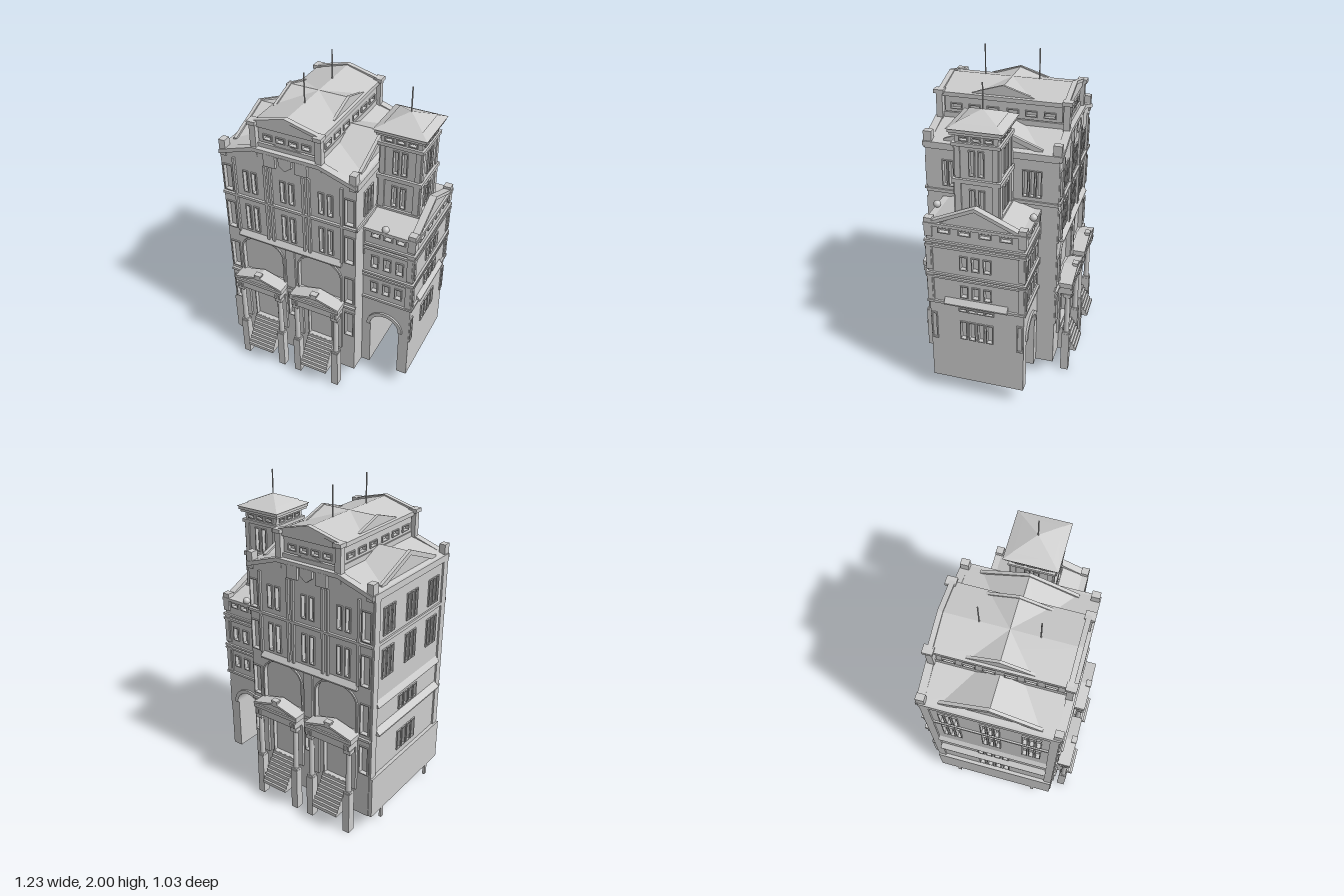
import * as THREE from 'three';

const mat = new THREE.MeshStandardMaterial({ color: 0xcccccc });
const openMat = new THREE.MeshStandardMaterial({ color: 0xcccccc, side: THREE.DoubleSide });

function add(parent, name, geo, x = 0, y = 0, z = 0) {
  const m = new THREE.Mesh(geo, mat);
  m.name = name;
  m.position.set(x, y, z);
  parent.add(m);
  return m;
}
// box given by centre x, bottom y, top y, centre z
const box = (p, name, x, y0, y1, z, w, d) =>
  add(p, name, new THREE.BoxGeometry(w, y1 - y0, d), x, (y0 + y1) / 2, z);
const cyl = (p, name, x, y0, y1, z, r0, r1 = r0, n = 16) =>
  add(p, name, new THREE.CylinderGeometry(r1, r0, y1 - y0, n), x, (y0 + y1) / 2, z);
const extrude = (shape, depth) =>
  new THREE.ExtrudeGeometry(shape, { depth, bevelEnabled: false, curveSegments: 12 });
const poly = (pts) => new THREE.Shape(pts.map(([x, y]) => new THREE.Vector2(x, y)));
const rect = (u, y, w, h) =>
  poly([[u - w / 2, y], [u + w / 2, y], [u + w / 2, y + h], [u - w / 2, y + h]]);

// opening with a round or flattened top
function archShape(u, y0, hw, spring, rise) {
  const s = new THREE.Shape();
  s.moveTo(u - hw, y0);
  s.lineTo(u + hw, y0);
  s.lineTo(u + hw, spring);
  s.absellipse(u, spring, hw, rise, 0, Math.PI, false, 0);
  s.lineTo(u - hw, y0);
  return s;
}
// wall outline with a round-topped passage cut up from its foot
function passageShape(hw, y0, y1, r, spring) {
  const s = poly([[-r, y0], [-hw, y0], [-hw, y1], [hw, y1], [hw, y0], [r, y0], [r, spring]]);
  s.absarc(0, spring, r, 0, Math.PI, false);
  s.lineTo(-r, y0);
  return s;
}
// half ring following the head of the passage
function halfRing(r0, r1, spring) {
  const s = new THREE.Shape();
  s.absarc(0, spring, r1, 0, Math.PI, false);
  s.absarc(0, spring, r0, Math.PI, 0, true);
  s.closePath();
  return s;
}
// wall slab whose outer face lies at z = 0, with framed window openings
function wall(p, name, outline, windows, arches = []) {
  for (const [u, y, w, h] of windows) {
    outline.holes.push(rect(u, y, w, h));
    const f = rect(u, y - 0.006, w + 0.012, h + 0.012);
    f.holes.push(rect(u, y, w, h));
    add(p, 'windowFrame', extrude(f, 0.008));
  }
  for (const a of arches) {
    outline.holes.push(archShape(...a));
    const f = archShape(a[0], a[1] - 0.008, a[2] + 0.01, a[3], a[4] + 0.01);
    f.holes.push(archShape(...a));
    add(p, 'archFrame', extrude(f, 0.01));
  }
  add(p, name, extrude(outline, 0.02), 0, 0, -0.02);
}
// gabled solid centred on the origin, ridge along z, or along x when turned
const prism = (p, name, hw, y0, y1, half, turned = false) => {
  const geo = extrude(poly([[-hw, y0], [hw, y0], [0, y1]]), half * 2).translate(0, 0, -half);
  return add(p, name, turned ? geo.rotateY(Math.PI / 2) : geo);
};
// sloping cornice on both sides of a gable; flat is the half width of a level top
const rake = (p, hw, y0, y1, t, z0, z1, flat = 0.001) => add(p, 'rakingCornice',
  extrude(poly([[-hw, y0 - t], [-flat, y1 - t], [flat, y1 - t], [hw, y0 - t], [hw, y0], [flat, y1], [-flat, y1], [-hw, y0]]), z1 - z0), 0, 0, z0);
// sub-group facing outward at angle a, offset d from the parent's centre
function facing(parent, name, a, d) {
  const g = new THREE.Group();
  g.name = name;
  g.rotation.y = a;
  g.position.set(Math.sin(a) * d, 0, Math.cos(a) * d);
  parent.add(g);
  return g;
}
const awning = (p, w, y, out) => {
  const s = poly([[0, y - 0.03], [out, y - 0.03], [out, y - 0.022], [0, y + 0.01]]);
  add(p, 'awning', extrude(s, w), w / 2).rotation.y = -Math.PI / 2;
};

// entrance porch: columns on piers, entablature, pediment, steps
function porch(p, cx) {
  const g = new THREE.Group();
  g.name = 'porch';
  g.position.x = cx;
  p.add(g);
  for (const s of [-1, 1]) {
    const x = s * 0.135;
    box(g, 'pier', x, 0, 0.28, 0.06, 0.045, 0.05);
    box(g, 'columnBase', x, 0.28, 0.295, 0.06, 0.042, 0.042);
    cyl(g, 'column', x, 0.295, 0.56, 0.06, 0.018, 0.016);
    box(g, 'capital', x, 0.56, 0.585, 0.06, 0.044, 0.044);
    box(g, 'wallPilaster', x, 0.28, 0.585, 0.006, 0.034, 0.02);
    for (const o of [-0.012, 0.012]) box(g, 'bracket', x + o, 0.59, 0.62, 0.085, 0.012, 0.012);
  }
  box(g, 'entablature', 0, 0.585, 0.635, 0.041, 0.305, 0.082);
  box(g, 'cornice', 0, 0.635, 0.655, 0.042, 0.33, 0.095);
  prism(g, 'pediment', 0.155, 0.655, 0.7, 0.04).position.z = 0.04;
  rake(g, 0.165, 0.668, 0.712, 0.014, 0, 0.09);
  box(g, 'pedimentBlock', 0, 0.69, 0.72, 0.075, 0.034, 0.03);
  box(g, 'pedimentCap', 0, 0.72, 0.73, 0.075, 0.045, 0.036);
  const n = 9, prof = [[0, 0.11]];
  for (let i = 0; i < n; i++) {
    const z = 0.12 - i * 0.0133;
    prof.push([z, 0.11 + i * 0.021], [z, 0.131 + i * 0.021]);
  }
  prof.push([0, 0.299]);
  add(g, 'steps', extrude(poly(prof), 0.18), 0.09).rotation.y = -Math.PI / 2;
}

function mainBlock(root) {
  const g = new THREE.Group();
  g.name = 'mainBlock';
  g.position.x = -0.15;
  root.add(g);
  // hollow core, open at the foot
  const core = box(g, 'core', 0, 0.11, 1.54, 0, 0.82, 0.75);
  core.geometry.setIndex([...core.geometry.index.array].filter((_, i) => i < 18 || i >= 24));
  core.geometry.clearGroups();
  core.material = openMat;
  // long fronts, the same at front and back
  for (const a of [0, Math.PI]) {
    const f = facing(g, 'facade', a, 0.395);
    const wins = [[0, 0.41, 0.05, 0.18]];
    for (const u of [-0.245, 0, 0.245]) for (const o of [-0.028, 0.028])
      wins.push([u + o, 1.29, 0.024, 0.135], [u + o, 1.015, 0.024, 0.17]);
    for (const s of [-1, 1]) {
      wins.push([s * 0.195, 0.3, 0.16, 0.27]);
      for (const [y, h] of [[0.41, 0.18], [0.68, 0.19], [0.99, 0.185], [1.265, 0.17]])
        wins.push([s * 0.393, y, 0.05, h]);
    }
    wall(f, 'facadeWall', poly([[-0.43, 0.11], [0.43, 0.11], [0.43, 1.53], [0.22, 1.6], [-0.22, 1.6], [-0.43, 1.53]]), wins,
      [-1, 1].map((s) => [s * 0.195, 0.67, 0.14, 0.85, 0.1]));
    for (const s of [-1, 1]) {
      for (const u of [0.105, 0.14, 0.345]) box(f, 'bayStrip', s * u, 0.98, 1.5, 0.004, 0.016, 0.018);
      box(f, 'parapetBlock', s * 0.1, 1.51, 1.59, 0.004, 0.075, 0.026);
      box(f, 'cornerBlock', s * 0.412, 1.5, 1.6, -0.015, 0.04, 0.05);
      porch(f, s * 0.195);
    }
    box(f, 'middleStrip', 0, 0.65, 0.96, 0.003, 0.06, 0.018);
    add(f, 'shield', extrude(poly([[-0.04, 1.59], [-0.04, 1.54], [0, 1.51], [0.04, 1.54], [0.04, 1.59]]), 0.018));
    for (const y of [0.635, 1.235]) box(f, 'floorBand', 0, y, y + 0.016, 0.003, 0.87, 0.024);
    awning(f, 0.69, 0.98, 0.024);
    rake(f, 0.435, 1.535, 1.61, 0.025, -0.03, 0.016, 0.21);
  }
  // gabled sides
  for (const a of [-Math.PI / 2, Math.PI / 2]) {
    const f = facing(g, 'sideFacade', a, 0.43);
    const wins = [];
    for (const u of [-0.24, 0, 0.24]) for (const o of [-0.04, 0, 0.04])
      wins.push([u + o, 1.275, 0.022, 0.155], [u + o, 1.01, 0.022, 0.17]);
    if (a < 0) for (const o of [-0.08, -0.027, 0.027, 0.08])
      wins.push([o, 0.43, 0.03, 0.12], [o, 0.72, 0.03, 0.08]);
    wall(f, 'sideWall', poly([[-0.375, 0.11], [0.375, 0.11], [0.375, 1.54], [-0.375, 1.54]]), wins);
    box(f, 'floorBand', 0, 1.225, 1.245, 0, 0.79, 0.02);
    box(f, 'topBand', 0, 1.5, 1.54, 0, 0.79, 0.02);
    rake(f, 0.29, 1.555, 1.668, 0.03, -0.04, -0.02);
    if (a < 0) {
      awning(f, 0.69, 0.69, 0.032);
      awning(f, 0.69, 0.87, 0.02);
      box(f, 'plinth', 0, 0.11, 0.38, 0.005, 0.78, 0.034);
      for (const s of [-1, 1]) {
        box(f, 'downpipe', s * 0.265, 0.035, 0.11, 0.012, 0.022, 0.016);
        box(f, 'cornerPilaster', s * 0.365, 0.38, 1.5, 0, 0.05, 0.02);
      }
    }
  }
  // crossing gable roofs
  prism(g, 'longRoof', 0.425, 1.54, 1.66, 0.375);
  prism(g, 'crossRoof', 0.29, 1.54, 1.66, 0.4, true);

  // raised centre storey with its own crossing gables
  const t = new THREE.Group();
  t.name = 'roofStorey';
  g.add(t);
  box(t, 'storeyBody', 0, 1.58, 1.75, 0, 0.37, 0.71);
  box(t, 'storeyCornice', 0, 1.735, 1.76, 0, 0.42, 0.77);
  box(t, 'storeyBase', 0, 1.6, 1.635, 0, 0.4, 0.76);
  prism(t, 'storeyRoof', 0.21, 1.76, 1.82, 0.385);
  prism(t, 'storeyCrossRoof', 0.18, 1.76, 1.82, 0.195, true);
  for (const s of [-1, 1]) {
    rake(t, 0.215, 1.772, 1.827, 0.018, s * 0.375 - 0.015, s * 0.375 + 0.015);
    for (const e of [-1, 1]) {
      box(t, 'cornerPier', s * 0.203, 1.55, 1.755, e * 0.38, 0.038, 0.038);
      box(t, 'pierCap', s * 0.203, 1.752, 1.775, e * 0.382, 0.052, 0.06);
    }
    const f = facing(t, 'storeyEnd', s > 0 ? 0 : Math.PI, 0.372);
    wall(f, 'frieze', rect(0, 1.64, 0.36, 0.095), [-0.12, -0.04, 0.04, 0.12].map((u) => [u, 1.665, 0.045, 0.025]));
    const e = facing(t, 'storeySide', s * Math.PI / 2, 0.2);
    rake(e, 0.185, 1.768, 1.826, 0.016, -0.022, -0.005);
    wall(e, 'frieze', rect(0, 1.64, 0.7, 0.095), [-0.28, -0.17, -0.06, 0.06, 0.17, 0.28].map((u) => [u, 1.665, 0.06, 0.025]));
    cyl(t, 'mast', 0, 1.78, 2, s * 0.165, 0.004, 0.004, 6);
  }
}

function annex(root) {
  const g = new THREE.Group();
  g.name = 'annex';
  g.position.x = 0.432;
  root.add(g);
  add(g, 'annexCore', extrude(passageShape(0.14, 0.11, 1.18, 0.095, 0.455), 0.53), 0, 0, -0.265);
  for (const a of [0, Math.PI]) {
    const f = facing(g, 'annexFront', a, 0.285), wins = [];
    for (const u of [-0.078, 0, 0.078]) wins.push([u, 0.92, 0.036, 0.08], [u, 0.73, 0.036, 0.07], [u, 1.145, 0.045, 0.025]);
    wall(f, 'annexWall', passageShape(0.16, 0.11, 1.18, 0.095, 0.455), wins);
    add(f, 'archMoulding', extrude(halfRing(0.095, 0.118, 0.455), 0.012));
    add(f, 'roofBall', new THREE.SphereGeometry(0.022, 16, 12), -Math.cos(a) * 0.02, 1.215, 0);
  }
  const f = facing(g, 'annexSide', Math.PI / 2, 0.16), wins = [];
  for (const u of [-0.07, 0, 0.07]) wins.push([u, 0.92, 0.036, 0.08], [u, 0.73, 0.036, 0.07]);
  for (const u of [-0.18, -0.06, 0.06, 0.18]) wins.push([u, 1.145, 0.06, 0.025]);
  for (const u of [-0.08, -0.027, 0.027, 0.08]) wins.push([u, 0.43, 0.032, 0.12], [u, 0.63, 0.04, 0.014]);
  wall(f, 'annexSideWall', rect(0, 0.11, 0.53, 1.07), wins);
  awning(f, 0.38, 0.7, 0.024);
  prism(f, 'gable', 0.24, 1.18, 1.31, 0.015).position.z = -0.015;
  rake(f, 0.26, 1.205, 1.32, 0.022, -0.035, 0.008);
  // string courses wrapping the free sides
  for (const [y0, y1] of [[0.665, 0.68], [0.84, 0.852], [0.862, 0.875], [1.045, 1.06], [1.075, 1.09], [1.18, 1.198]])
    box(g, 'annexBand', 0.01, y0, y1, 0, 0.326, 0.596);
  for (const s of [-1, 1]) {
    const lower = rect(s * 0.262, 0.4, 0.038, 0.19);
    lower.holes.push(rect(s * 0.262, 0.41, 0.024, 0.17));
    add(f, 'lowerPanel', extrude(lower, 0.008));
    for (const y of [0.68, 0.89]) {
      box(g, 'cornerPier', 0.145, y, y + 0.19, s * 0.273, 0.044, 0.04);
      box(g, 'cornerPanel', 0.145, y + 0.02, y + 0.17, s * 0.273, 0.026, 0.05);
      box(g, 'cornerPanel', 0.147, y + 0.02, y + 0.17, s * 0.273, 0.05, 0.024);
    }
    box(g, 'cornerBlock', 0.145, 1.11, 1.225, s * 0.273, 0.046, 0.046);
  }
  prism(g, 'annexRoof', 0.285, 1.19, 1.28, 0.15, true);
}

function tower(root) {
  const g = new THREE.Group();
  g.name = 'tower';
  g.position.x = 0.415;
  root.add(g);
  box(g, 'towerCore', 0, 1.18, 1.72, 0, 0.21, 0.21);
  for (let i = 0; i < 4; i++) {
    const f = facing(g, 'towerFace', i * Math.PI / 2, 0.122);
    wall(f, 'towerWall', rect(0, 1.18, 0.24, 0.54), [
      ...[-0.026, 0.026].flatMap((u) => [[u, 1.27, 0.024, 0.13], [u, 1.49, 0.024, 0.14]]),
      ...[-0.07, 0, 0.07].map((u) => [u, 1.69, 0.04, 0.015])]);
    for (const s of [-1, 1]) {
      box(f, 'towerPilaster', s * 0.106, 1.25, 1.44, 0.004, 0.036, 0.014);
      box(f, 'towerPilaster', s * 0.106, 1.47, 1.66, 0.002, 0.03, 0.012);
    }
  }
  for (const [y0, y1, w] of [[1.225, 1.25, 0.272], [1.44, 1.465, 0.275], [1.655, 1.675, 0.272], [1.72, 1.735, 0.285], [1.735, 1.755, 0.3]])
    box(g, 'towerCornice', 0, y0, y1, 0, w, w);
  // two stacked low pyramids
  for (const [y0, y1, w, top] of [[1.755, 1.78, 0.315, 0.2], [1.779, 1.825, 0.225, 0]]) {
    const geo = new THREE.CylinderGeometry(top / Math.SQRT2, w / Math.SQRT2, y1 - y0, 4).toNonIndexed();
    geo.computeVertexNormals();
    add(g, 'towerRoof', geo, 0, (y0 + y1) / 2).rotation.y = Math.PI / 4;
  }
  cyl(g, 'towerMast', 0, 1.8, 1.97, 0, 0.004, 0.004, 6);
}

export function createModel() {
  const root = new THREE.Group();
  root.name = 'building';
  mainBlock(root);
  annex(root);
  tower(root);
  return root;
}
